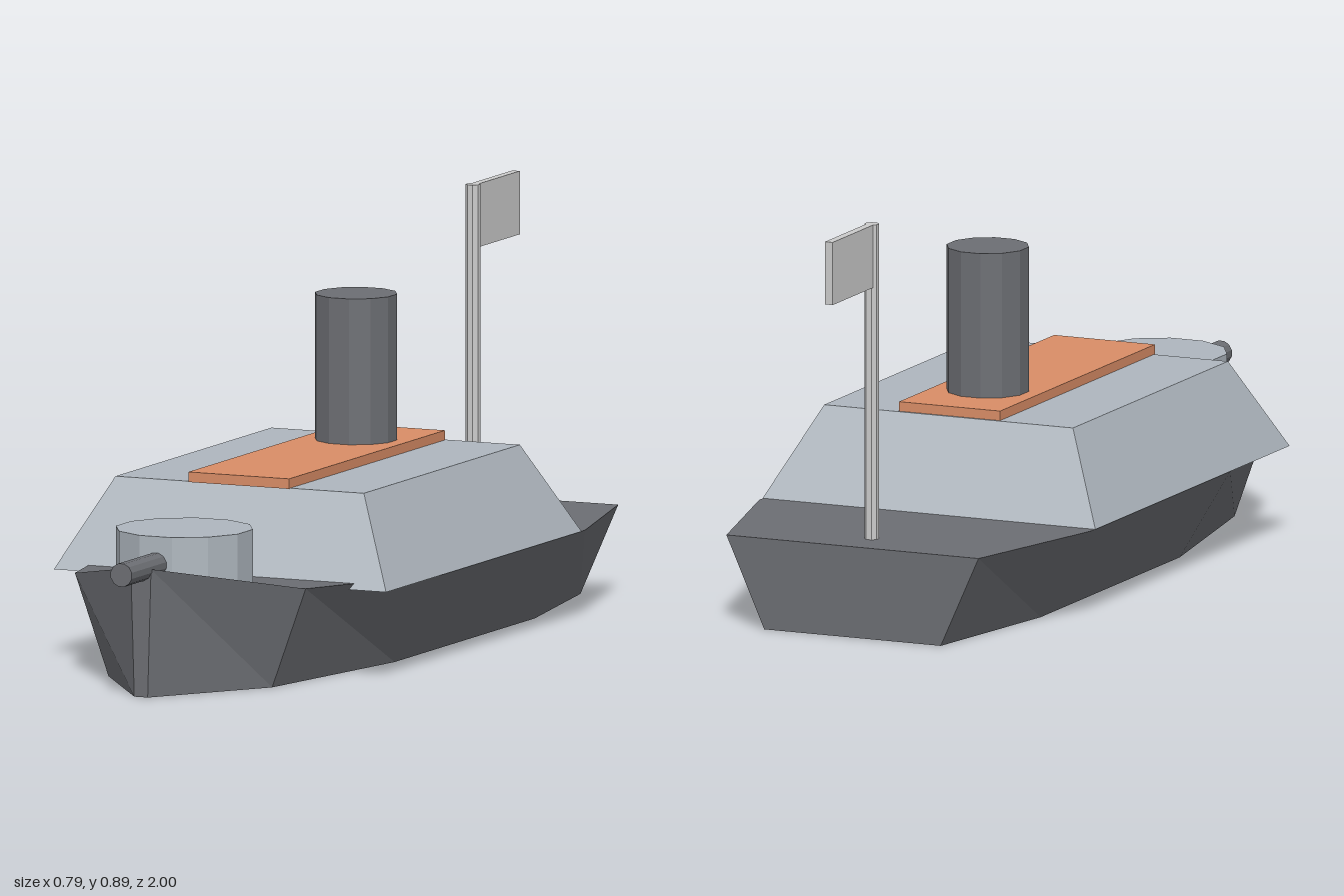
import * as THREE from 'three';

const mat = (color, side = THREE.FrontSide) => new THREE.MeshStandardMaterial({ color, flatShading: true, side });
const DARK = mat(0x6c6e73), LIGHT = mat(0xaeb6be), WOOD = mat(0xd98d66), GREY = mat(0xcccccc);

// Joins four-cornered loops into a closed solid with flat end caps
function loft(loops) {
  const pos = [];
  const quad = (a, b, c, d) => pos.push(...a, ...b, ...c, ...a, ...c, ...d);
  for (let i = 0; i < loops.length - 1; i++) {
    const p = loops[i], q = loops[i + 1];
    for (let k = 0; k < 4; k++) {
      const n = (k + 1) % 4;
      quad(p[k], p[n], q[n], q[k]);
    }
  }
  quad(...[...loops[0]].reverse());
  quad(...loops[loops.length - 1]);
  const g = new THREE.BufferGeometry();
  g.setAttribute('position', new THREE.Float32BufferAttribute(pos, 3));
  g.computeVertexNormals();
  return g;
}

// Hull section across the ship: z, half width at the keel, half width at the deck, deck height
const section = ([z, keel, deck, h]) => [[-keel, 0, z], [keel, 0, z], [deck, h, z], [-deck, h, z]];
// Level rectangle: height, half width, back z, front z
const level = (y, x, back, front) => [[-x, y, front], [x, y, front], [x, y, back], [-x, y, back]];

export function createModel() {
  const ship = new THREE.Group();
  ship.name = 'ship';
  const add = (name, geometry, material, x = 0, y = 0, z = 0) => {
    const mesh = new THREE.Mesh(geometry, material);
    mesh.name = name;
    mesh.position.set(x, y, z);
    ship.add(mesh);
    return mesh;
  };
  // Upright twelve-sided drum with a flat facing front
  const drum = (r, h, sides = 12) => new THREE.CylinderGeometry(r, r, h, sides).rotateY(Math.PI / sides);

  // Hull from stern to bow
  add('hull', loft([
    [-0.88, 0.21, 0.30, 0.2],
    [-0.51, 0.275, 0.395, 0.2],
    [0.2, 0.275, 0.395, 0.2],
    [0.65, 0.195, 0.275, 0.22],
    [0.9, 0.016, 0.024, 0.28],
  ].map(section)), DARK);

  // Sloping cabin that overhangs the narrowing bow
  add('cabin', loft([level(0.2, 0.396, -0.49, 0.5), level(0.396, 0.296, -0.39, 0.4)]), LIGHT);
  add('roofDeck', new THREE.BoxGeometry(0.24, 0.022, 0.79), WOOD, 0, 0.406, 0.01);
  add('funnel', drum(0.09, 0.325), DARK, 0, 0.5725, -0.19);

  // Bow gun
  add('turret', drum(0.15, 0.16), LIGHT, 0, 0.26, 0.68);
  add('gunBarrel', drum(0.026, 0.26).rotateX(Math.PI / 2), DARK, 0, 0.279, 0.87);

  // Stern flag
  add('flagPole', drum(0.016, 0.7, 8), GREY, 0, 0.543, -0.782);
  add('flag', new THREE.BoxGeometry(0.018, 0.138, 0.225), GREY, 0, 0.824, -0.8875);
  return ship;
}
